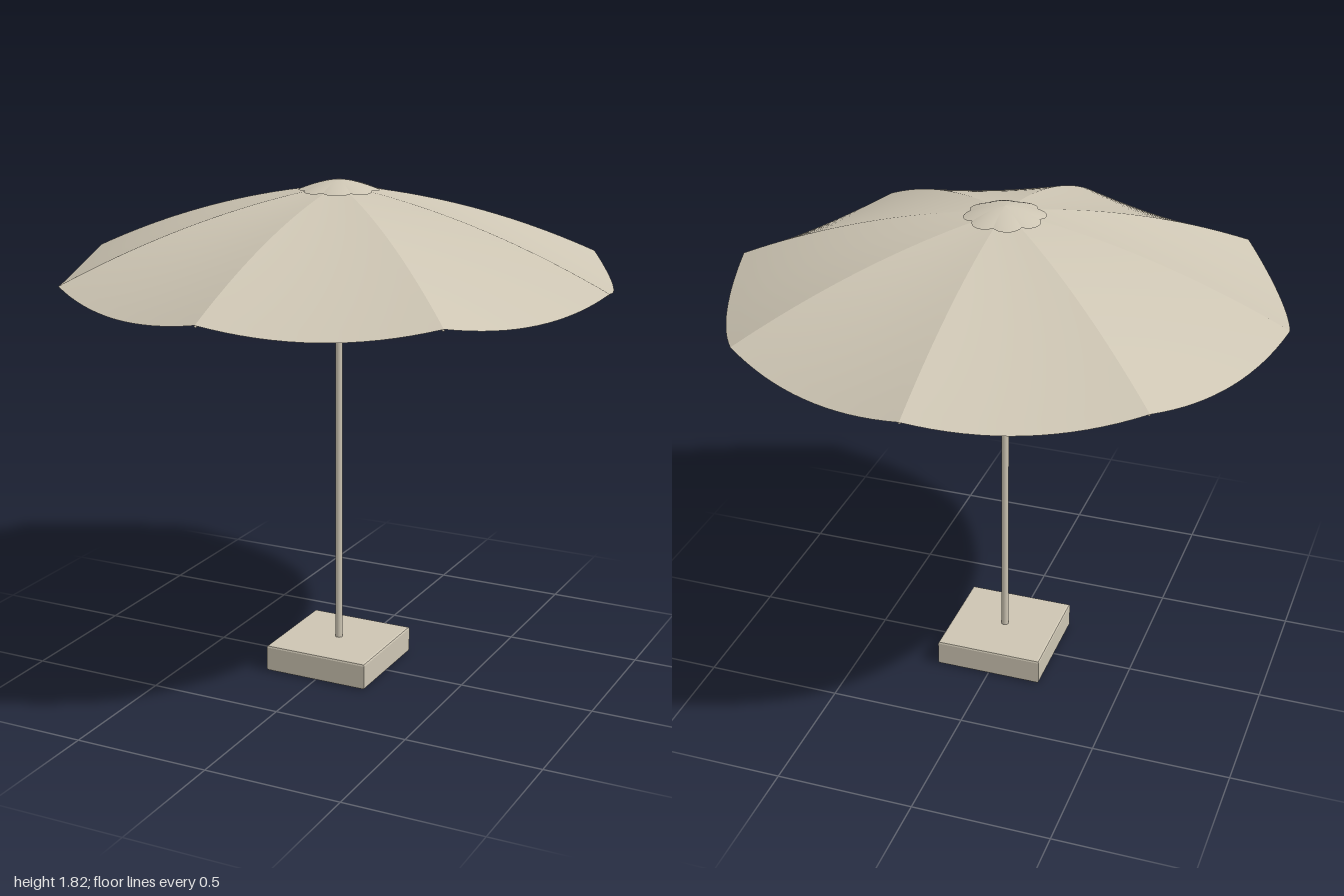
import * as THREE from 'three';

const PANELS = 8;
const STEP = (Math.PI * 2) / PANELS;

// Height of a rib at distance r from the pole
const ribHeight = (r) => 1.803 - 0.126 * r - 0.17 * r * r;

// One cloth panel between two ribs; point(t, s, out) gives radius and height
function panelGeometry(rows, cols, point) {
  const positions = [];
  const index = [];
  for (let i = 0; i <= rows; i++) {
    for (let j = 0; j <= cols; j++) {
      const u = j / cols;
      const s = 1 - (2 * u - 1) ** 2; // 0 at the ribs, 1 mid panel
      const [r, y] = point(0.01 + (0.99 * i) / rows, s);
      positions.push(r * Math.cos(u * STEP), y, r * Math.sin(u * STEP));
    }
  }
  const w = cols + 1;
  for (let i = 0; i < rows; i++) {
    for (let j = 0; j < cols; j++) {
      const a = i * w + j;
      index.push(a, a + 1, a + w, a + 1, a + w + 1, a + w);
    }
  }
  const geometry = new THREE.BufferGeometry();
  geometry.setAttribute('position', new THREE.Float32BufferAttribute(positions, 3));
  geometry.setIndex(index);
  geometry.computeVertexNormals();
  return geometry;
}

export function createModel() {
  const model = new THREE.Group();
  model.name = 'parasol';
  const beige = new THREE.MeshStandardMaterial({ color: 0xcdc5b3, side: THREE.DoubleSide });
  beige.name = 'warm beige';

  const add = (name, geometry, parent = model) => {
    const mesh = new THREE.Mesh(geometry, beige);
    mesh.name = name;
    parent.add(mesh);
    return mesh;
  };

  // Square base with softly bevelled edges
  const b = 0.008;
  const h = 0.2 - b;
  const square = new THREE.Shape([
    new THREE.Vector2(-h, -h), new THREE.Vector2(h, -h),
    new THREE.Vector2(h, h), new THREE.Vector2(-h, h),
  ]);
  const baseGeometry = new THREE.ExtrudeGeometry(square, {
    depth: 0.1 - 2 * b, bevelSize: b, bevelThickness: b, bevelSegments: 2,
  });
  baseGeometry.rotateX(-Math.PI / 2).translate(0, b, 0);
  add('base', baseGeometry);

  // Pole and the runner hub that carries the struts
  add('pole', new THREE.CylinderGeometry(0.0135, 0.0135, 1.7, 20)).position.y = 0.94;
  add('runnerHub', new THREE.CylinderGeometry(0.016, 0.016, 0.014, 20)).position.y = 1.322;

  // Canopy panel sags between the ribs, the top cap is a small lobed cover
  const canopy = panelGeometry(20, 16, (t, s) => [
    t * (1 - 0.038 * s), ribHeight(t) - 0.04 * s * t ** 1.5,
  ]);
  const cap = panelGeometry(8, 10, (t, s) => [
    t * (0.125 + 0.018 * s), 1.822 - 0.012 * t - 0.022 * t * t - 0.004 * s * t,
  ]);

  // Curved rib under each seam
  const ribPoints = [0.01, 0.25, 0.5, 0.75, 0.996].map(
    (r) => new THREE.Vector3(r, ribHeight(r) - 0.006, 0));
  const rib = new THREE.TubeGeometry(new THREE.CatmullRomCurve3(ribPoints), 24, 0.005, 6);

  // Straight strut from the runner up to the rib
  const strut = new THREE.TubeGeometry(new THREE.LineCurve3(
    new THREE.Vector3(0.01, 1.322, 0),
    new THREE.Vector3(0.6, ribHeight(0.6) - 0.008, 0)), 1, 0.003, 6);

  for (let i = 0; i < PANELS; i++) {
    const section = new THREE.Group();
    section.name = `section${i + 1}`;
    section.rotation.y = i * STEP;
    add('canopyPanel', canopy, section);
    add('topCapPanel', cap, section);
    add('rib', rib, section);
    add('strut', strut, section);
    model.add(section);
  }
  return model;
}
